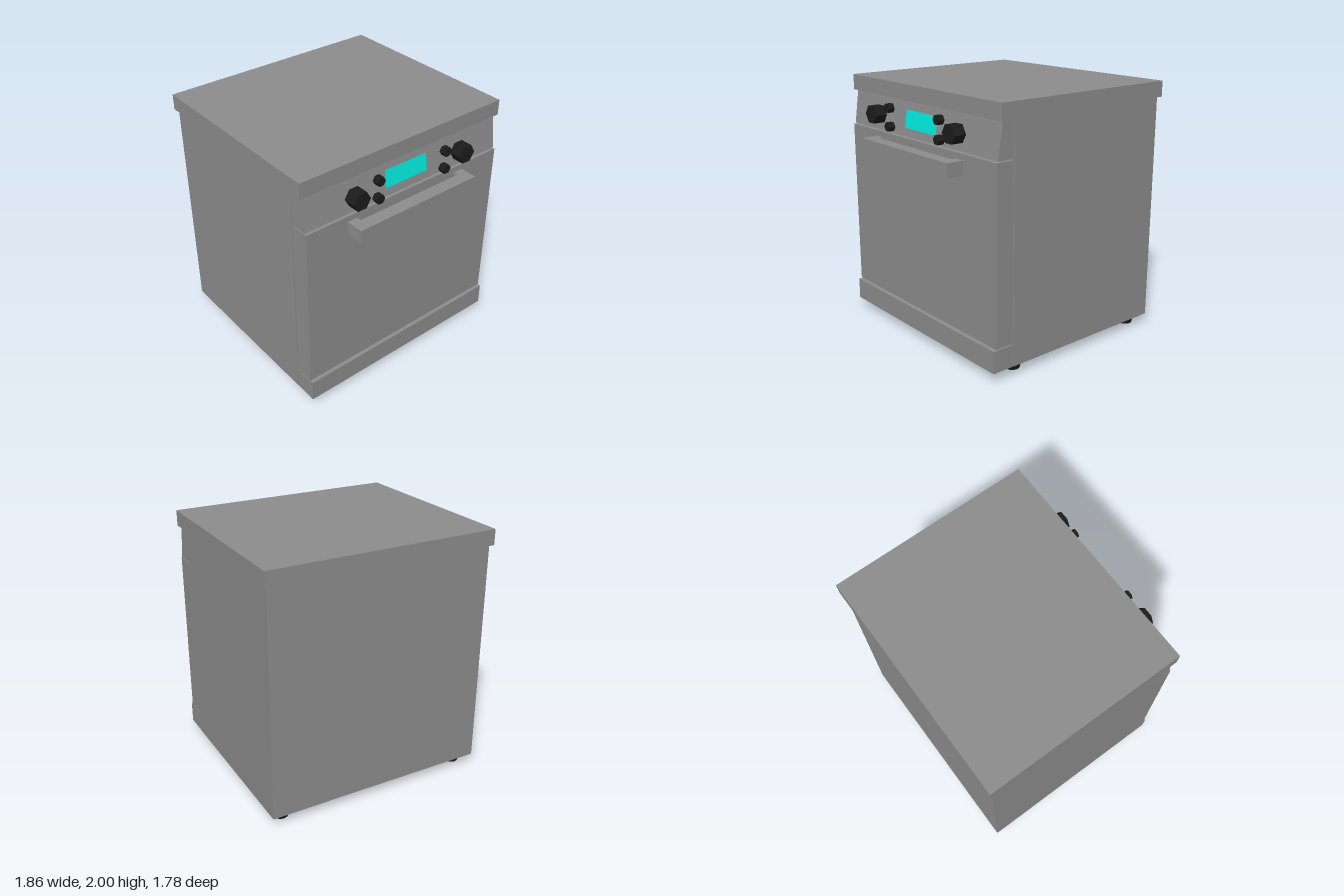
import * as THREE from 'three';

const grey = new THREE.MeshStandardMaterial({ color: 0x8c8c8c, flatShading: true });
const black = new THREE.MeshStandardMaterial({ color: 0x1c1c1c, flatShading: true });
const cyan = new THREE.MeshStandardMaterial({ color: 0x00e9dc, side: THREE.DoubleSide });

export function createModel() {
  const model = new THREE.Group();
  model.name = 'cooker';

  const add = (name, geometry, material = grey) => {
    const mesh = new THREE.Mesh(geometry, material);
    mesh.name = name;
    model.add(mesh);
    return mesh;
  };

  // Box given by its half width and its y and z ranges
  const slab = (name, halfWidth, y0, y1, z0, z1) =>
    add(name, new THREE.BoxGeometry(halfWidth * 2, y1 - y0, z1 - z0))
      .position.set(0, (y0 + y1) / 2, (z0 + z1) / 2);

  slab('worktop', 0.928, 1.877, 2, -0.887, 0.72);
  slab('body', 0.905, 0.074, 1.877, -0.86, 0.587);
  slab('door', 0.905, 0.256, 1.6, 0.598, 0.748);
  slab('plinth', 0.905, 0.076, 0.248, 0.598, 0.773);

  // Sloping control panel: side profile (z, y) swept along x
  const [zLow, zHigh, yLow, yHigh] = [0.733, 0.695, 1.608, 1.877];
  const profile = new THREE.Shape([[0.598, yLow], [zLow, yLow], [zHigh, yHigh], [0.598, yHigh]]
    .map(([z, y]) => new THREE.Vector2(-z, y)));
  const panel = new THREE.ExtrudeGeometry(profile, { depth: 1.81, bevelEnabled: false });
  panel.translate(0, 0, -0.905).rotateY(Math.PI / 2);
  add('controlPanel', panel);

  // Display lying on the slope
  const slope = (zHigh - zLow) / (yHigh - yLow);
  const displayY = 1.739;
  const display = add('display', new THREE.PlaneGeometry(0.39, 0.139), cyan);
  display.position.set(0.006, displayY, zLow + slope * (displayY - yLow) + 0.002);
  display.rotation.x = Math.atan(slope);

  // Handle: front bar with an arm at each end, outlined from above
  const outline = new THREE.Shape([
    [-0.55, 0.748], [-0.47, 0.748], [-0.47, 0.787], [0.47, 0.787],
    [0.47, 0.748], [0.55, 0.748], [0.55, 0.888], [-0.55, 0.888],
  ].map(([x, z]) => new THREE.Vector2(x, z)));
  const handle = new THREE.ExtrudeGeometry(outline, { depth: 0.108, bevelEnabled: false });
  handle.rotateX(Math.PI / 2).translate(0, 1.556, 0);
  add('handle', handle);

  // Six-sided knobs with a corner pointing to each side
  const knob = (name, radius, depth, x, y, z) => {
    const geometry = new THREE.CylinderGeometry(radius, radius, depth, 6);
    geometry.rotateY(Math.PI / 6).rotateX(Math.PI / 2);
    add(name, geometry, black).position.set(x, y, z);
  };

  for (const side of [-1, 1]) {
    knob('largeKnob', 0.075, 0.096, side * 0.496, 1.74, 0.785);
    for (const y of [1.668, 1.811]) knob('smallKnob', 0.038, 0.05, 0.006 + side * 0.315, y, 0.785);

    // Tapered feet
    for (const z of [0.499, -0.74]) {
      add('foot', new THREE.CylinderGeometry(0.076, 0.057, 0.076, 12), black)
        .position.set(side * 0.789, 0.038, z);
    }
  }

  return model;
}
